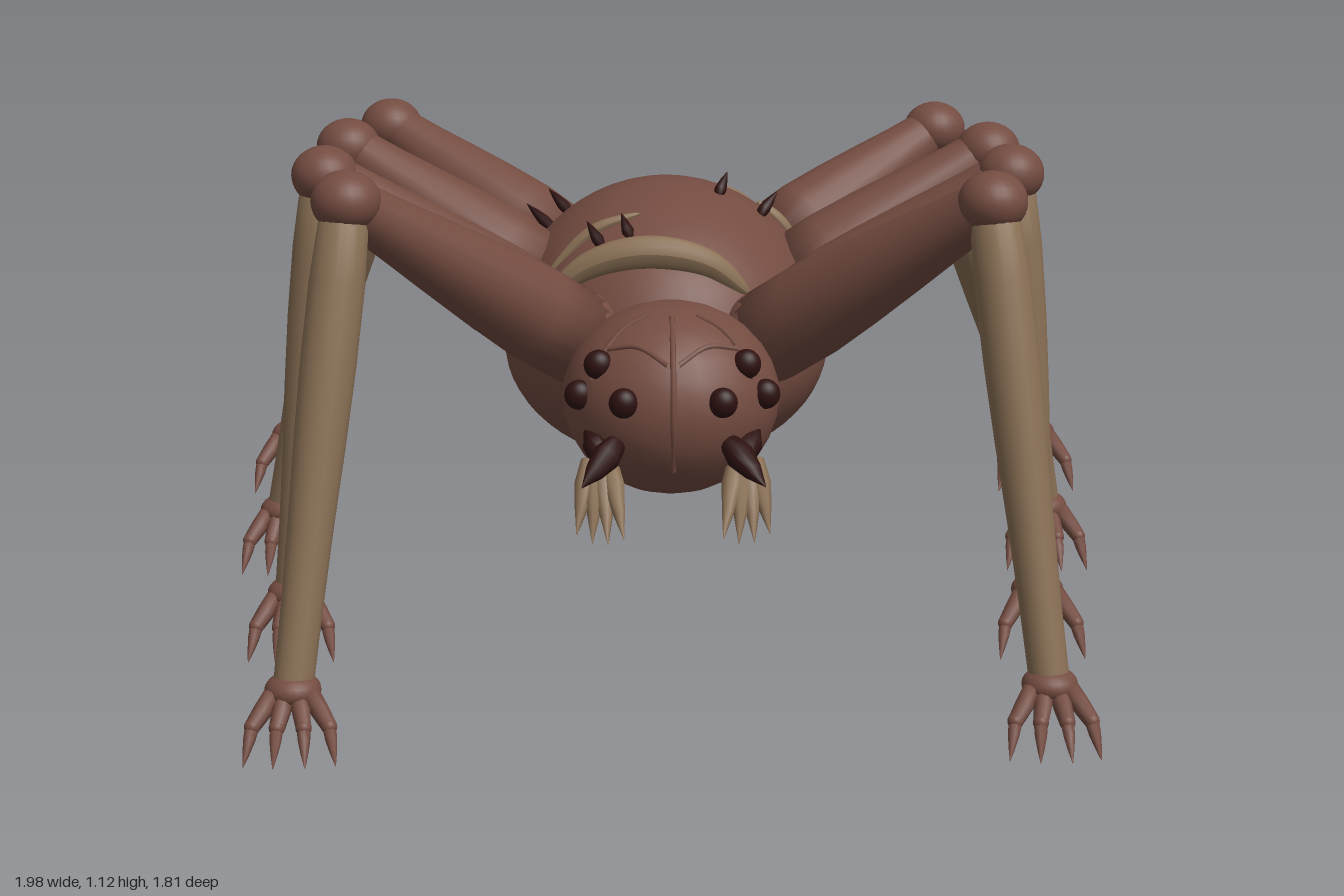
import * as THREE from 'three';

const V = (x, y, z) => new THREE.Vector3(x, y, z);
const UP = V(0, 1, 0);
const CX = -0.01; // body centre line

export function createModel() {
  const model = new THREE.Group();
  const paint = (name, color) => {
    const m = new THREE.MeshStandardMaterial({ color });
    m.name = name;
    return m;
  };
  const brown = paint('brown hide', 0x744c41);
  const tan = paint('tan shell', 0x8a7055);
  const dark = paint('dark horn', 0x2d1110);

  function add(parent, name, geometry, material) {
    const mesh = new THREE.Mesh(geometry, material);
    mesh.name = name;
    parent.add(mesh);
    return mesh;
  }

  function ball(parent, name, p, r, material) {
    const mesh = add(parent, name, new THREE.SphereGeometry(1, 24, 16), material);
    mesh.position.copy(p);
    mesh.scale.set(...r);
    return mesh;
  }

  // Round limb from a to b, with radii spaced evenly along its length
  function limb(parent, name, a, b, radii, material, sides = 18) {
    const length = a.distanceTo(b);
    const n = radii.length - 1;
    const profile = radii.map((r, i) => new THREE.Vector2(Math.max(r, 0.0005), (length * i) / n));
    const mesh = add(parent, name, new THREE.LatheGeometry([new THREE.Vector2(0, 0), ...profile], sides), material);
    mesh.position.copy(a);
    mesh.quaternion.setFromUnitVectors(UP, b.clone().sub(a).normalize());
    return mesh;
  }

  // Arched plate that tapers to both ends: high in the arch, thin in z
  function crescent(name, points, height, depth, material = tan) {
    const curve = new THREE.CatmullRomCurve3(points);
    const segs = 28, sides = 12;
    const g = new THREE.TubeGeometry(curve, segs, 1, sides, false);
    const pos = g.attributes.position, v = V(0, 0, 0);
    for (let k = 0; k < pos.count; k++) {
      const t = Math.floor(k / (sides + 1)) / segs;
      const c = curve.getPointAt(t);
      const s = Math.sqrt(Math.max(0, Math.sin(Math.PI * t))) + 0.01;
      v.fromBufferAttribute(pos, k).sub(c);
      pos.setXYZ(k, c.x + v.x * height * s, c.y + v.y * height * s, c.z + v.z * depth * s);
    }
    g.computeVertexNormals();
    add(model, name, g, material);
  }

  // Abdomen: egg with a taller upper half
  const bodyGeo = new THREE.SphereGeometry(1, 48, 32);
  const bp = bodyGeo.attributes.position;
  for (let i = 0; i < bp.count; i++) {
    const y = bp.getY(i);
    bp.setXYZ(i, bp.getX(i) * 0.355, y * (y > 0 ? 0.36 : 0.26), bp.getZ(i) * 0.42);
  }
  bodyGeo.computeVertexNormals();
  add(model, 'abdomen', bodyGeo, brown).position.set(CX, 0.64, -0.12);
  const bodyTop = (x, z) => 0.64 + 0.36 * Math.sqrt(Math.max(0, 1 - ((x - CX) / 0.355) ** 2 - ((z + 0.12) / 0.42) ** 2));

  // Head
  const hc = V(CX, 0.615, 0.345), hr = V(0.225, 0.2, 0.22);
  ball(model, 'head', hc, hr.toArray(), brown);
  const headFront = (x, y) => hc.z + hr.z * Math.sqrt(Math.max(0, 1 - (x / hr.x) ** 2 - ((y - hc.y) / hr.y) ** 2));

  // Raised seams over the head
  const seam = (pts) => add(model, 'headSeam',
    new THREE.TubeGeometry(new THREE.CatmullRomCurve3(pts), 20, 0.006, 6), brown);
  seam([0.8, 0.75, 0.68, 0.6, 0.5].map((y) => V(CX, y, headFront(0, y))));
  for (const s of [-1, 1]) {
    seam([[0.05, 0.8], [0.1, 0.775], [0.14, 0.73], [0.165, 0.68]].map(([x, y]) => V(CX + s * x, y, headFront(x, y))));
    seam([[0.01, 0.72], [0.07, 0.75], [0.13, 0.74]].map(([x, y]) => V(CX + s * x, y, headFront(x, y))));
  }

  for (const s of [-1, 1]) {
    // Eyes
    for (const [x, y] of [[0.15, 0.71], [0.1, 0.645], [0.19, 0.645]]) {
      ball(model, 'eye', V(CX + s * x, y, headFront(x, y)), [0.03, 0.031, 0.025], dark);
    }
    // Fangs
    limb(model, 'fang', V(CX + s * 0.11, 0.56, 0.51), V(CX + s * 0.185, 0.485, 0.6), [0.02, 0.03, 0.02, 0], dark, 10);
    limb(model, 'fangRoot', V(CX + s * 0.17, 0.57, 0.46), V(CX + s * 0.13, 0.51, 0.54), [0.012, 0.028, 0.025, 0], dark, 10);
    // Mouth claws
    for (let i = 0; i < 4; i++) {
      const x = 0.1 + i * 0.032;
      limb(model, 'mouthClaw', V(CX + s * (0.13 + i * 0.013), 0.51, 0.47),
        V(CX + s * x, i === 0 || i === 3 ? 0.375 : 0.36, 0.59 - i * 0.012), [0.018, 0.023, 0.013, 0], tan, 8);
    }
  }

  // Back plates
  crescent('frontBackPlate', [V(-0.27, 0.8, 0.2), V(-0.17, 0.87, 0.21), V(-0.055, 0.895, 0.215), V(0.07, 0.87, 0.21), V(0.16, 0.8, 0.2)], 0.035, 0.026);
  crescent('rearBackPlate', [V(-0.26, 0.8, -0.41), V(-0.14, 0.865, -0.42), V(0, 0.885, -0.425), V(0.14, 0.865, -0.42), V(0.25, 0.8, -0.41)], 0.04, 0.03);
  for (const [x0, x1, z] of [[-0.27, -0.07, 0.08], [0.07, 0.23, -0.29], [0.19, 0.28, -0.16]]) {
    const pts = [0, 0.5, 1].map((t) => {
      const x = x0 + (x1 - x0) * t;
      return V(x, bodyTop(x, z) + 0.004, z);
    });
    crescent('smallBackPlate', pts, 0.014, 0.011);
  }

  // Spines on the back
  const spines = [
    [-0.25, 0.14], [-0.15, 0.12], [-0.09, 0.13], [0.1, -0.05], [0.19, -0.06], [0.31, 0.04],
    [0.24, -0.26], [0.2, -0.29], [0.27, -0.22], [-0.26, -0.22], [-0.22, -0.24], [-0.29, -0.19],
  ];
  for (const [x, z] of spines) {
    const base = V(x, bodyTop(x, z) - 0.01, z);
    const tip = base.clone().add(V(x * 0.22, 0.05, -0.035));
    limb(model, 'backSpine', base, tip, [0.011, 0.013, 0.008, 0], dark, 8);
  }

  // Legs: hip, knee and ankle for each, front to rear
  const legs = [
    [[0.2, 0.72, 0.23], [0.62, 1.06, 0.585], [0.73, 0.125, 0.775]],
    [[0.27, 0.74, 0.13], [0.7, 1.06, 0.225], [0.775, 0.165, 0.24]],
    [[0.27, 0.78, -0.07], [0.695, 1.055, -0.135], [0.855, 0.21, -0.295]],
    [[0.24, 0.81, -0.32], [0.615, 1.05, -0.505], [0.9, 0.255, -0.835]],
    [[-0.21, 0.72, 0.23], [-0.655, 1.065, 0.58], [-0.765, 0.125, 0.775]],
    [[-0.28, 0.74, 0.13], [-0.725, 1.06, 0.215], [-0.81, 0.165, 0.225]],
    [[-0.28, 0.78, -0.07], [-0.705, 1.06, -0.19], [-0.875, 0.21, -0.3]],
    [[-0.25, 0.81, -0.32], [-0.63, 1.06, -0.515], [-0.9, 0.255, -0.855]],
  ];
  for (const [h, k, a] of legs) {
    const hip = V(...h), knee = V(...k), ankle = V(...a);
    const leg = new THREE.Group();
    leg.name = 'leg';
    model.add(leg);
    ball(leg, 'hip', hip, [0.1, 0.1, 0.1], brown);
    limb(leg, 'thigh', hip, knee, [0.1, 0.1, 0.09, 0.077, 0.063, 0.052], brown);
    ball(leg, 'knee', knee, [0.07, 0.062, 0.07], brown);
    limb(leg, 'shin', knee, ankle, [0.048, 0.056, 0.056, 0.052, 0.046, 0.042, 0.04], tan);
    ball(leg, 'foot', ankle, [0.056, 0.036, 0.056], brown);
    // Toes splay forward and down, ending in claws
    for (const d of [-0.075, -0.026, 0.026, 0.075]) {
      const reach = 1 - Math.abs(d) * 2.2;
      const root = V(d * 0.5, -0.005, 0.025).add(ankle);
      const knuckle = V(d, -0.055, 0.08 * reach).add(ankle);
      const tip = V(d * 1.2, -0.122, 0.135 * reach).add(ankle);
      limb(leg, 'toe', root, knuckle, [0.02, 0.019, 0.016], brown, 8);
      ball(leg, 'knuckle', knuckle, [0.016, 0.016, 0.016], brown);
      limb(leg, 'toeClaw', knuckle, tip, [0.014, 0.012, 0.007, 0], brown, 8);
    }
  }

  return model;
}
